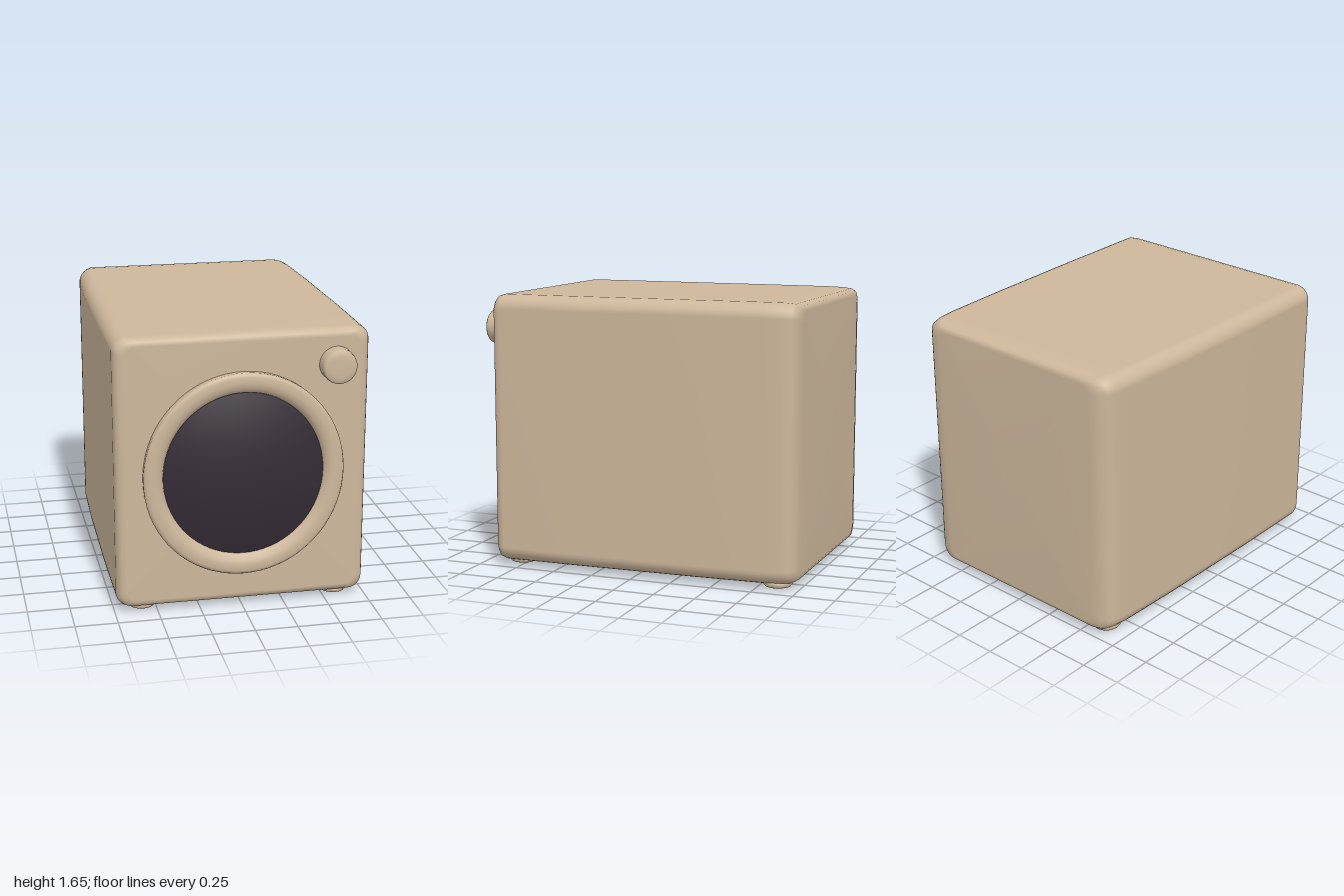
import * as THREE from 'three';

const shell = new THREE.MeshStandardMaterial({ color: 0xcdb79b });
shell.name = 'beige shell';
const dark = new THREE.MeshStandardMaterial({ color: 0x352c36 });
dark.name = 'dark glass';

// Rounded-rectangle outline, counter-clockwise seen from the front
function outline(hw, y0, y1, r, steps = 6) {
  const pts = [];
  const corners = [[hw - r, y1 - r], [-hw + r, y1 - r], [-hw + r, y0 + r], [hw - r, y0 + r]];
  corners.forEach(([cx, cy], k) => {
    for (let i = 0; i <= steps; i++) {
      const a = (k + i / steps) * Math.PI / 2;
      pts.push([cx + r * Math.cos(a), cy + r * Math.sin(a)]);
    }
  });
  return pts;
}

// Cabinet: sections from front to back as [z, half width, inset at top and bottom]
function cabinetGeometry() {
  const sections = [
    [0.9, 0.68, 0.05], [0.893, 0.708, 0.026], [0.875, 0.728, 0.01], [0.84, 0.74, 0],
    [0.3, 0.74, 0], [0, 0.735, 0], [-0.4, 0.729, 0], [-0.8, 0.715, 0],
    [-0.9, 0.705, 0.002], [-0.955, 0.69, 0.008], [-0.985, 0.655, 0.022], [-1, 0.58, 0.05],
  ];
  const pos = [], idx = [];
  const rings = sections.map(([z, hw, inset]) =>
    outline(hw, 0.03 + inset, 1.655 - inset, 0.085 - inset * 0.4).map(([x, y]) => [x, y, z]));
  const n = rings[0].length;
  rings.forEach(ring => ring.forEach(p => pos.push(...p)));
  for (let s = 0; s < rings.length - 1; s++) {
    for (let i = 0; i < n; i++) {
      const a = s * n + i, b = s * n + (i + 1) % n;
      idx.push(a, a + n, b, b, a + n, b + n);
    }
  }
  // Flat front and back
  const last = (rings.length - 1) * n, front = pos.length / 3;
  pos.push(0, 0.84, 0.9, 0, 0.84, -1);
  for (let i = 0; i < n; i++) {
    const j = (i + 1) % n;
    idx.push(front, i, j, front + 1, last + j, last + i);
  }
  const g = new THREE.BufferGeometry();
  g.setAttribute('position', new THREE.Float32BufferAttribute(pos, 3));
  g.setIndex(idx);
  g.computeVertexNormals();
  return g;
}

function lathe(points, segments) {
  return new THREE.LatheGeometry(points.map(([r, h]) => new THREE.Vector2(r, h)), segments);
}

export function createModel() {
  const group = new THREE.Group();
  const add = (name, geometry, material, x, y, z) => {
    const mesh = new THREE.Mesh(geometry, material);
    mesh.name = name;
    mesh.position.set(x, y, z);
    group.add(mesh);
    return mesh;
  };

  add('cabinet', cabinetGeometry(), shell, 0, 0, 0);

  // Slightly oval door ring with softened edges
  const ring = lathe([
    [0.58, -0.02], [0.585, 0.04], [0.578, 0.053], [0.562, 0.06], [0.53, 0.062],
    [0.5, 0.056], [0.475, 0.038], [0.465, 0.012], [0.465, -0.01],
  ], 72).rotateX(Math.PI / 2).scale(1, 1.04, 1);
  add('doorRing', ring, shell, 0, 0.827, 0.9);

  // Domed door glass
  const dome = [];
  for (let i = 0; i <= 10; i++) {
    const r = 0.47 * (1 - i / 10);
    dome.push([r, 0.1 - 0.37 * r * r]);
  }
  add('doorGlass', lathe(dome, 72).rotateX(Math.PI / 2).scale(1, 1.045, 1), dark, 0, 0.826, 0.9);

  // Control knob
  const knob = lathe([
    [0.105, -0.02], [0.1, 0.01], [0.101, 0.06], [0.098, 0.078], [0.088, 0.087], [0.06, 0.091], [0, 0.092],
  ], 40).rotateX(Math.PI / 2);
  add('knob', knob, shell, 0.54, 1.447, 0.9);

  // Four round feet
  const foot = lathe([
    [0, 0], [0.055, 0.002], [0.076, 0.009], [0.086, 0.022], [0.083, 0.038], [0.068, 0.05], [0.065, 0.08],
  ], 32);
  for (const x of [-0.58, 0.58]) {
    add('frontFoot', foot, shell, x, 0, 0.78);
    add('backFoot', foot, shell, x, 0, -0.86);
  }
  return group;
}
